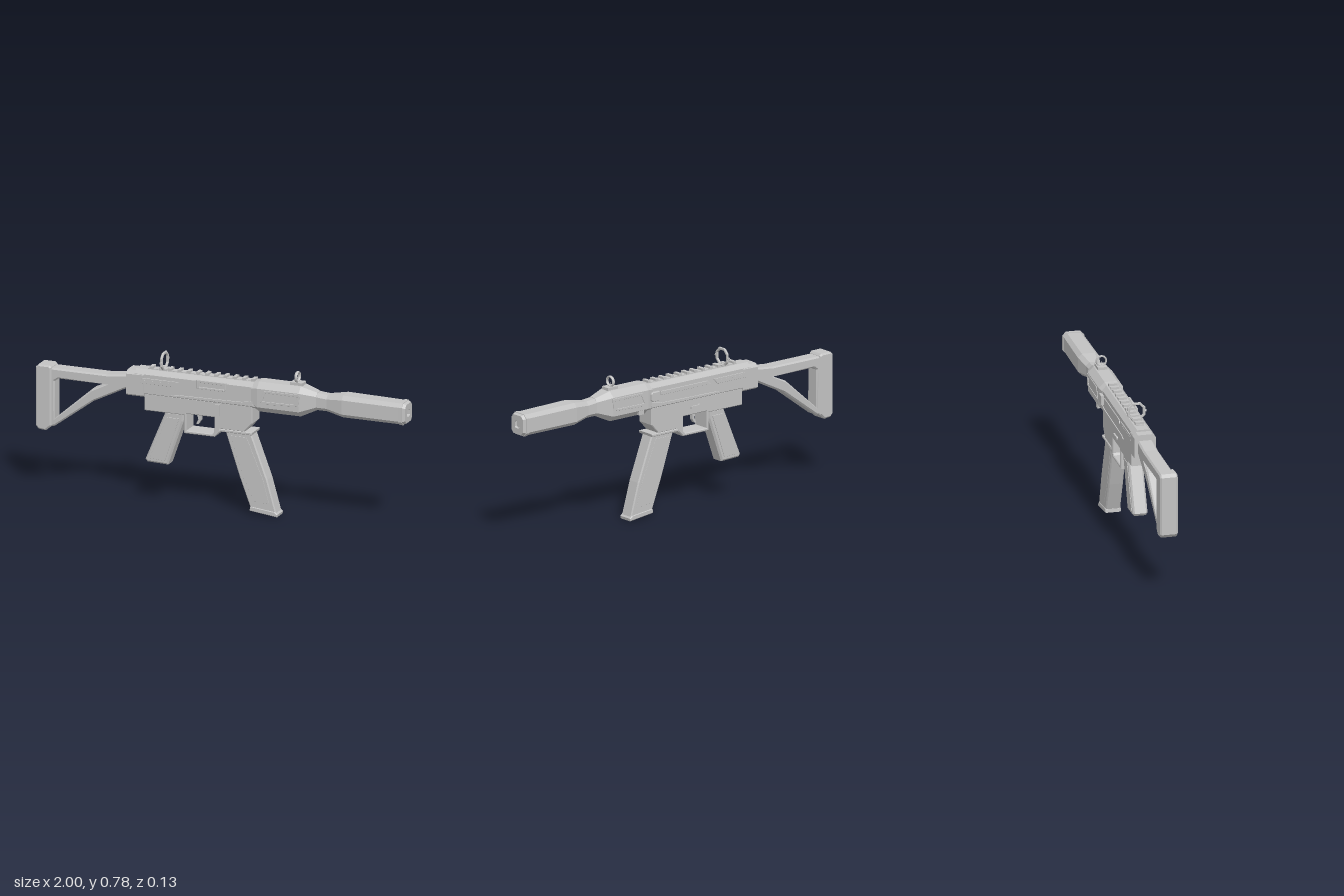
import * as THREE from 'three';

const grey = new THREE.MeshStandardMaterial({ color: 0xc2c2c2, flatShading: true });
grey.name = 'plain grey';

export function createModel() {
  const root = new THREE.Group();
  root.name = 'submachineGun';

  const add = (name, geo, x = 0, y = 0, z = 0) => {
    const m = new THREE.Mesh(geo, grey);
    m.name = name;
    m.position.set(x, y, z);
    root.add(m);
    return m;
  };
  const box = (name, x0, x1, y0, y1, z0, z1) =>
    add(name, new THREE.BoxGeometry(x1 - x0, y1 - y0, z1 - z0), (x0 + x1) / 2, (y0 + y1) / 2, (z0 + z1) / 2);

  // Side profile extruded across z, with optional holes and bevelled edges
  const slab = (name, pts, half, bevel = 0, holes = [], z = 0) => {
    const vec = (list) => list.map(([x, y]) => new THREE.Vector2(x, y));
    const shape = new THREE.Shape(vec(pts));
    holes.forEach((h) => shape.holes.push(new THREE.Path(vec(h))));
    const depth = 2 * (half - bevel);
    const geo = new THREE.ExtrudeGeometry(shape, {
      depth, bevelEnabled: bevel > 0, bevelSize: bevel, bevelThickness: bevel,
      bevelOffset: -bevel, bevelSegments: 1,
    });
    geo.translate(0, 0, -depth / 2);
    return add(name, geo, 0, 0, z);
  };

  // Octagonal sections along x: [x, bottom, top, halfWidth, topCut, bottomCut]
  const loft = (name, sections) => {
    const rings = sections.map(([x, b, t, w, ct, cb = ct]) => [
      [x, b + cb, -w], [x, t - ct, -w], [x, t, -w + ct], [x, t, w - ct],
      [x, t - ct, w], [x, b + cb, w], [x, b, w - cb], [x, b, -w + cb],
    ]);
    const pos = [];
    for (let i = 0; i < rings.length - 1; i++) {
      const a = rings[i], b = rings[i + 1];
      for (let j = 0; j < 8; j++) {
        const k = (j + 1) % 8;
        pos.push(...a[j], ...a[k], ...b[j], ...a[k], ...b[k], ...b[j]);
      }
    }
    const first = rings[0], last = rings[rings.length - 1];
    for (let j = 1; j < 7; j++) {
      pos.push(...first[0], ...first[j + 1], ...first[j]);
      pos.push(...last[0], ...last[j], ...last[j + 1]);
    }
    const geo = new THREE.BufferGeometry();
    geo.setAttribute('position', new THREE.Float32BufferAttribute(pos, 3));
    geo.computeVertexNormals();
    return add(name, geo);
  };

  // Shoulder stock
  slab('buttPlate', [[-1, 0.33], [-0.985, 0.312], [-0.945, 0.308], [-0.915, 0.335], [-0.915, 0.64],
    [-0.925, 0.65], [-0.985, 0.65], [-1, 0.635]], 0.046, 0.008);
  slab('stockFrame', [[-0.93, 0.33], [-0.9, 0.335], [-0.69, 0.49], [-0.5, 0.585], [-0.5, 0.65],
    [-0.62, 0.638], [-0.93, 0.638]], 0.039, 0.008,
  [[[-0.9, 0.375], [-0.9, 0.57], [-0.88, 0.585], [-0.62, 0.585], [-0.7, 0.55]]]);

  // Upper receiver
  loft('receiverRear', [[-0.505, 0.55, 0.68, 0.055, 0.018, 0.008], [-0.41, 0.55, 0.682, 0.055, 0.018, 0.008]]);
  loft('receiver', [[-0.46, 0.56, 0.69, 0.052, 0.022, 0.01], [0.2, 0.56, 0.692, 0.052, 0.022, 0.01]]);

  // Handguard, neck and barrel shroud with a recessed bore
  loft('handguard', [
    [0.17, 0.565, 0.692, 0.054, 0.026], [0.205, 0.543, 0.7, 0.062, 0.03],
    [0.43, 0.543, 0.7, 0.062, 0.03], [0.515, 0.583, 0.674, 0.037, 0.018],
  ]);
  loft('barrelShroud', [
    [0.5, 0.583, 0.674, 0.037, 0.018], [0.57, 0.583, 0.668, 0.037, 0.018],
    [0.66, 0.567, 0.681, 0.055, 0.02], [0.985, 0.567, 0.676, 0.052, 0.018],
    [1, 0.573, 0.67, 0.046, 0.016], [1, 0.602, 0.64, 0.019, 0.007], [0.94, 0.602, 0.64, 0.019, 0.007],
  ]);
  loft('muzzleCollar', [[0.965, 0.564, 0.679, 0.055, 0.019], [0.985, 0.564, 0.679, 0.055, 0.019]]);

  // Top rail with teeth
  box('railBase', -0.4, 0.18, 0.685, 0.694, -0.02, 0.02);
  for (let i = 0; i < 12; i++) {
    const x = -0.392 + i * 0.05;
    box('railTooth', x, x + 0.018, 0.69, 0.705, -0.022, 0.022);
  }

  // Rear sight: eight-sided hoop
  const hoop = (r, c) => [[-r, -c], [-c, -r], [c, -r], [r, -c], [r, c], [c, r], [-c, r], [-r, c]];
  const rear = slab('rearSightHoop', hoop(0.046, 0.021), 0.006, 0.002, [hoop(0.034, 0.016)]);
  rear.rotation.y = Math.PI / 2;
  rear.position.set(-0.32, 0.737, 0);
  box('rearSightBase', -0.34, -0.3, 0.685, 0.7, -0.025, 0.025);
  for (const s of [-1, 1]) {
    const knob = add('rearSightKnob', new THREE.CylinderGeometry(0.007, 0.007, 0.008, 8), -0.32, 0.737, s * 0.048);
    knob.rotation.x = Math.PI / 2;
  }

  // Front sight: round hoop on a block with a post
  box('frontSightBase', 0.37, 0.435, 0.695, 0.714, -0.025, 0.025);
  const front = add('frontSightHoop', new THREE.TorusGeometry(0.025, 0.005, 6, 20), 0.4, 0.738, 0);
  front.rotation.y = Math.PI / 2;
  front.scale.z = 1.6;
  add('frontSightPost', new THREE.ConeGeometry(0.004, 0.03, 6), 0.4, 0.724, 0);

  // Lower receiver with trigger guard opening and magazine well
  slab('lowerReceiver', [[-0.41, 0.57], [-0.41, 0.48], [-0.195, 0.48], [-0.195, 0.385], [-0.03, 0.385],
    [0, 0.415], [0, 0.43], [0.13, 0.43], [0.175, 0.48], [0.175, 0.57]], 0.049, 0.004,
  [[[-0.182, 0.4], [-0.182, 0.488], [-0.032, 0.488], [-0.032, 0.41], [-0.042, 0.4]]]);
  slab('trigger', [[-0.145, 0.495], [-0.12, 0.495], [-0.12, 0.45], [-0.132, 0.43], [-0.145, 0.428],
    [-0.133, 0.455]], 0.01);
  slab('magazineLip', [[0, 0.418], [0.172, 0.418], [0.176, 0.432], [0, 0.432]], 0.053, 0.003);

  // Curved magazine
  slab('magazine', [[0.022, 0.425], [0.06, 0.31], [0.1, 0.19], [0.16, 0.03], [0.298, 0.02],
    [0.25, 0.19], [0.205, 0.31], [0.162, 0.425]], 0.038, 0.006);
  slab('magazineBase', [[0.155, 0.018], [0.303, 0], [0.306, 0.014], [0.29, 0.028], [0.165, 0.042], [0.157, 0.036]],
    0.041, 0.004);

  // Pistol grip
  slab('grip', [[-0.3, 0.485], [-0.2, 0.485], [-0.205, 0.44], [-0.288, 0.204], [-0.4, 0.208], [-0.41, 0.222]],
    0.038, 0.009);

  // Raised details shared by both flanks
  for (const s of [-1, 1]) {
    slab('gripPanel', [[-0.29, 0.455], [-0.225, 0.455], [-0.302, 0.225], [-0.385, 0.23]], 0.003, 0.001, [], s * 0.038);
    slab('magazinePanel', [[0.052, 0.4], [0.14, 0.4], [0.228, 0.19], [0.262, 0.065], [0.182, 0.07], [0.122, 0.19]],
      0.002, 0.0005, [], s * 0.038);
    slab('handguardPanelFrame', [[0.215, 0.605], [0.235, 0.592], [0.43, 0.602], [0.46, 0.655], [0.44, 0.665], [0.245, 0.663]]
      .map(([x, y]) => [Math.min(x, 0.435), y]), 0.003, 0.001,
    [[[0.232, 0.607], [0.405, 0.61], [0.425, 0.652], [0.252, 0.652]]], s * 0.062);
    slab('rearVentPanel', [[-0.43, 0.622], [-0.245, 0.622], [-0.22, 0.65], [-0.42, 0.65]], 0.003, 0.001, [], s * 0.053);
    for (let i = 0; i < 4; i++) {
      box('ventRib', -0.41 + i * 0.043, -0.385 + i * 0.043, 0.633, 0.64, s * 0.056 - 0.0015, s * 0.056 + 0.0015);
    }
    slab('lowerRidge', [[-0.27, 0.572], [0.18, 0.572], [0.18, 0.6], [0.12, 0.588], [-0.24, 0.582]],
      0.004, 0.001, [], s * 0.052);
  }

  // Ejection port and release lever on the front flank
  slab('ejectionPortFrame', [[-0.125, 0.63], [0.025, 0.63], [0.035, 0.64], [0.035, 0.675], [-0.125, 0.675]], 0.005, 0.001,
    [[[-0.112, 0.64], [0.024, 0.64], [0.024, 0.663], [-0.112, 0.663]]], 0.053);
  box('magazineRelease', -0.022, 0, 0.5, 0.558, 0.045, 0.06);

  // Cocking handle, its slot and the selector on the back flank
  slab('cockingSlot', [[-0.2, 0.628], [0.12, 0.628], [0.12, 0.648], [-0.18, 0.648]], 0.003, 0.001, [], -0.053);
  slab('cockingBlock', [[0.135, 0.605], [0.18, 0.605], [0.188, 0.615], [0.188, 0.645], [0.18, 0.653], [0.135, 0.653]],
    0.009, 0.002, [], -0.058);
  box('boltCatch', 0.235, 0.265, 0.55, 0.572, -0.062, -0.045);
  const selector = add('selectorPivot', new THREE.CylinderGeometry(0.01, 0.01, 0.012, 10), -0.13, 0.527, -0.051);
  selector.rotation.x = Math.PI / 2;
  box('selectorLever', -0.13, -0.075, 0.521, 0.533, -0.057, -0.047);

  return root;
}
